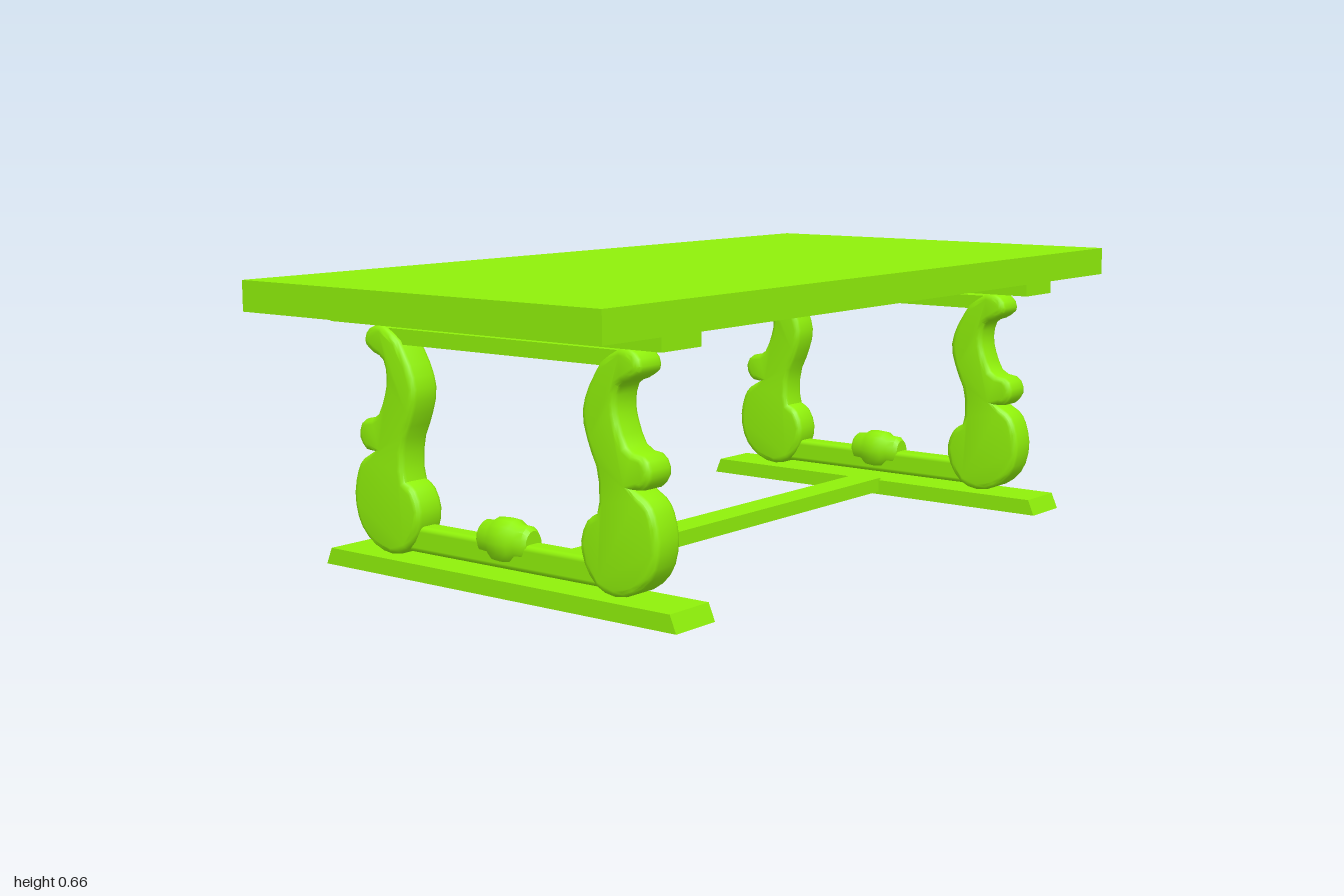
import * as THREE from 'three';
import { toCreasedNormals } from 'three/addons/utils/BufferGeometryUtils.js';
import { RoundedBoxGeometry } from 'three/addons/geometries/RoundedBoxGeometry.js';

const material = new THREE.MeshStandardMaterial({ color: 0x8ff00a });
const END_X = 0.723;

function add(parent, name, geometry, x = 0, y = 0, z = 0) {
  const mesh = new THREE.Mesh(geometry, material);
  mesh.name = name;
  mesh.position.set(x, y, z);
  parent.add(mesh);
  return mesh;
}

// Extrudes a (z, y) profile along x, centred, with rounded edges
function extrudeAlongX(shape, width, bevel) {
  const geometry = new THREE.ExtrudeGeometry(shape, {
    depth: width - 2 * bevel, curveSegments: 8, steps: 1,
    bevelEnabled: bevel > 0, bevelThickness: bevel, bevelSize: bevel,
    bevelOffset: -bevel, bevelSegments: 3,
  });
  geometry.translate(0, 0, -(width - 2 * bevel) / 2);
  geometry.rotateY(-Math.PI / 2);
  return toCreasedNormals(geometry, 0.7);
}

// Scrolled leg outline: upper curl, small shoulder scroll, large lower scroll
function legShape() {
  const outer = [
    [0.29, 0.52], [0.343, 0.552], [0.384, 0.54], [0.395, 0.51], [0.372, 0.49],
    [0.34, 0.475], [0.33, 0.436], [0.338, 0.395], [0.362, 0.348], [0.406, 0.335],
    [0.42, 0.3], [0.4, 0.27], [0.372, 0.268],
  ];
  const inner = [
    [0.41, 0.247], [0.43, 0.215], [0.44, 0.16], [0.425, 0.1], [0.386, 0.06], [0.33, 0.041],
    [0.277, 0.055], [0.242, 0.1], [0.233, 0.15], [0.253, 0.195], [0.28, 0.215],
    [0.28, 0.29], [0.255, 0.35], [0.24, 0.41], [0.256, 0.465], [0.29, 0.52],
  ];
  const toVec = ([z, y]) => new THREE.Vector2(z, y);
  const shape = new THREE.Shape();
  shape.moveTo(...outer[0]);
  shape.splineThru(outer.slice(1).map(toVec));
  shape.splineThru(inner.map(toVec));
  // Drop to a modest resolution
  const points = shape.getPoints(2);
  return new THREE.Shape(points);
}

function createTrestle() {
  const trestle = new THREE.Group();

  // Sled foot with sloped ends
  const foot = new THREE.Shape([[-0.506, 0], [0.506, 0], [0.49, 0.038], [-0.49, 0.038]]
    .map(([z, y]) => new THREE.Vector2(z, y)));
  add(trestle, 'foot', extrudeAlongX(foot, 0.125, 0));

  // Bearer under the top, and the two cross rails
  add(trestle, 'bearer', new THREE.BoxGeometry(0.125, 0.036, 0.944), 0, 0.572, 0);
  add(trestle, 'upperRail', new THREE.BoxGeometry(0.05, 0.034, 0.66), 0, 0.528, 0);
  add(trestle, 'lowerRail', new RoundedBoxGeometry(0.054, 0.06, 0.62, 2, 0.012), 0, 0.082, 0);

  // Turned boss around the middle of the lower rail
  const profile = [[0, -0.072], [0.032, -0.072], [0.041, -0.062], [0.042, -0.04], [0.051, -0.025],
    [0.053, 0], [0.051, 0.025], [0.042, 0.04], [0.041, 0.062], [0.032, 0.072], [0, 0.072]];
  const boss = new THREE.LatheGeometry(profile.map(([r, h]) => new THREE.Vector2(r, h)), 16);
  boss.rotateX(Math.PI / 2);
  boss.scale(0.78, 1, 1);
  add(trestle, 'boss', toCreasedNormals(boss, 0.7), 0, 0.108, 0);

  // Scrolled legs, front and back
  const legGeometry = extrudeAlongX(legShape(), 0.08, 0.014);
  add(trestle, 'frontLeg', legGeometry);
  add(trestle, 'backLeg', legGeometry).rotation.y = Math.PI;
  return trestle;
}

export function createModel() {
  const model = new THREE.Group();
  model.name = 'trestleTable';

  add(model, 'tableTop', new THREE.BoxGeometry(2, 0.068, 1.012), 0, 0.624, 0);
  add(model, 'stretcher', new THREE.BoxGeometry(1.34, 0.036, 0.08), 0, 0.025, 0);

  for (const side of [1, -1]) {
    const trestle = createTrestle();
    trestle.name = side > 0 ? 'leftTrestle' : 'rightTrestle';
    trestle.position.x = side * END_X;
    model.add(trestle);
  }
  return model;
}
